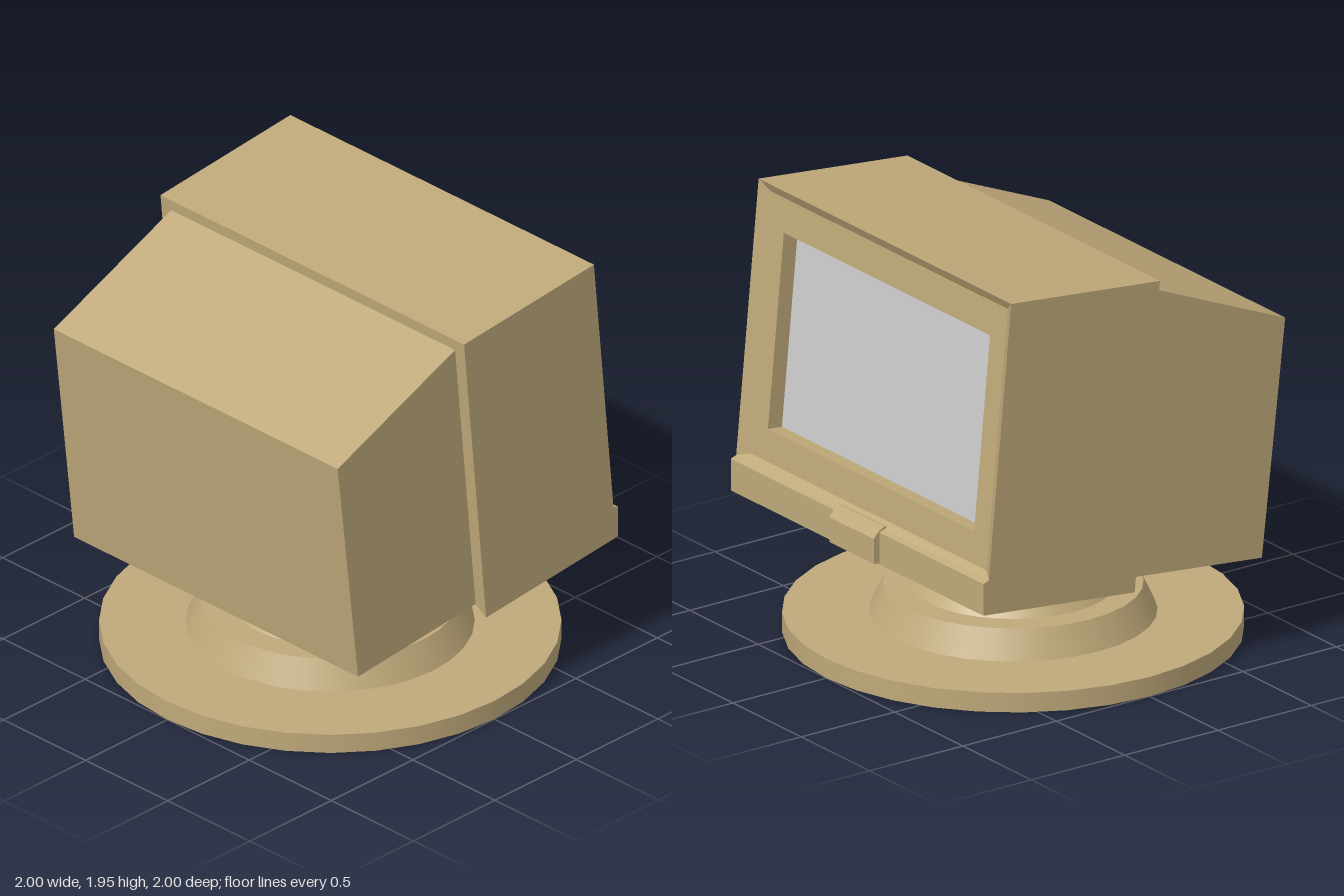
import * as THREE from 'three';

const tan = new THREE.MeshStandardMaterial({ color: 0xbfa97a });
const grey = new THREE.MeshStandardMaterial({ color: 0xcccccc });

function add(parent, name, geometry, material = tan) {
  const mesh = new THREE.Mesh(geometry, material);
  mesh.name = name;
  parent.add(mesh);
  return mesh;
}

const shapeOf = (pts) => new THREE.Shape(pts.map(([x, y]) => new THREE.Vector2(x, y)));

// Side profile (x, y) extruded evenly to both sides in z
function sideProfile(pts, halfWidth) {
  const g = new THREE.ExtrudeGeometry(shapeOf(pts), { depth: 2 * halfWidth, bevelEnabled: false });
  return g.translate(0, 0, -halfWidth);
}

// Symmetric front outline (z, y) extruded along +x from x0 to x1
function frontProfile(shape, x0, x1) {
  const g = new THREE.ExtrudeGeometry(shape, { depth: x1 - x0, bevelEnabled: false });
  return g.rotateY(Math.PI / 2).translate(x0, 0, 0);
}

// Rectangular loop of corners at depth x, anticlockwise seen from +x
const loop = (x, w, y0, y1) => [[x, y0, w], [x, y0, -w], [x, y1, -w], [x, y1, w]];

// Flat quads joining successive loops
function bridge(loops) {
  const pos = [];
  for (let k = 0; k + 1 < loops.length; k++) {
    for (let i = 0; i < 4; i++) {
      const j = (i + 1) % 4;
      const [a, b, c, d] = [loops[k][i], loops[k][j], loops[k + 1][j], loops[k + 1][i]];
      pos.push(...a, ...b, ...c, ...a, ...c, ...d);
    }
  }
  const g = new THREE.BufferGeometry();
  g.setAttribute('position', new THREE.Float32BufferAttribute(pos, 3));
  g.computeVertexNormals();
  return g;
}

export function createModel() {
  const model = new THREE.Group();
  model.name = 'monitor';

  // Round swivel stand: [name, top radius, bottom radius, y0, y1]
  const stand = new THREE.Group();
  stand.name = 'stand';
  model.add(stand);
  const tiers = [
    ['basePlate', 1, 1, 0, 0.09],
    ['baseCollar', 0.565, 0.625, 0.09, 0.22],
    ['neck', 0.235, 0.45, 0.22, 0.515],
  ];
  for (const [name, top, bottom, y0, y1] of tiers) {
    add(stand, name, new THREE.CylinderGeometry(top, bottom, y1 - y0, 32)).position.y = (y0 + y1) / 2;
  }

  // Rear housing with sloping top
  add(model, 'rearHousing', sideProfile(
    [[-0.70, 0.44], [0.025, 0.511], [-0.10, 1.828], [-0.825, 1.525]], 0.865));

  // Front housing, tilted back; built facing +x from its rear bottom edge
  const front = new THREE.Group();
  front.name = 'frontHousing';
  front.position.set(0.025, 0.465, 0);
  front.rotation.z = 0.0953;
  model.add(front);

  const W = 0.925, H = 1.42, inner = 0.865;
  const outline = [[-W, H], [-W, 0], [-inner, 0.045], [inner, 0.045], [W, 0], [W, H]];
  add(front, 'shell', frontProfile(shapeOf(outline), 0, 0.69));

  // Bezel panel with screen opening
  const panel = shapeOf(outline);
  panel.holes.push(new THREE.Path([
    new THREE.Vector2(-0.755, 0.327), new THREE.Vector2(0.755, 0.327),
    new THREE.Vector2(0.755, 1.221), new THREE.Vector2(-0.755, 1.221)]));
  add(front, 'bezelPanel', frontProfile(panel, 0.69, 0.77));

  // Raised rim with an inward bevel
  add(front, 'bezelRim', bridge([
    loop(0.77, W, 0.159, H), loop(0.80, W, 0.159, H), loop(0.77, inner, 0.182, 1.375)]));

  const screen = add(front, 'screen', new THREE.BoxGeometry(0.01, 0.894, 1.51), grey);
  screen.position.set(0.69, 0.774, 0);

  // Lip along the bottom and the button cover in its middle
  add(front, 'lowerLip', sideProfile(
    [[0.76, 0], [0.814, 0], [0.828, 0.146], [0.80, 0.159], [0.76, 0.159]], W));
  add(front, 'controlCover', sideProfile(
    [[0.80, 0.004], [0.844, 0.004], [0.855, 0.119], [0.833, 0.151], [0.805, 0.169], [0.79, 0.169]], 0.163));

  return model;
}
